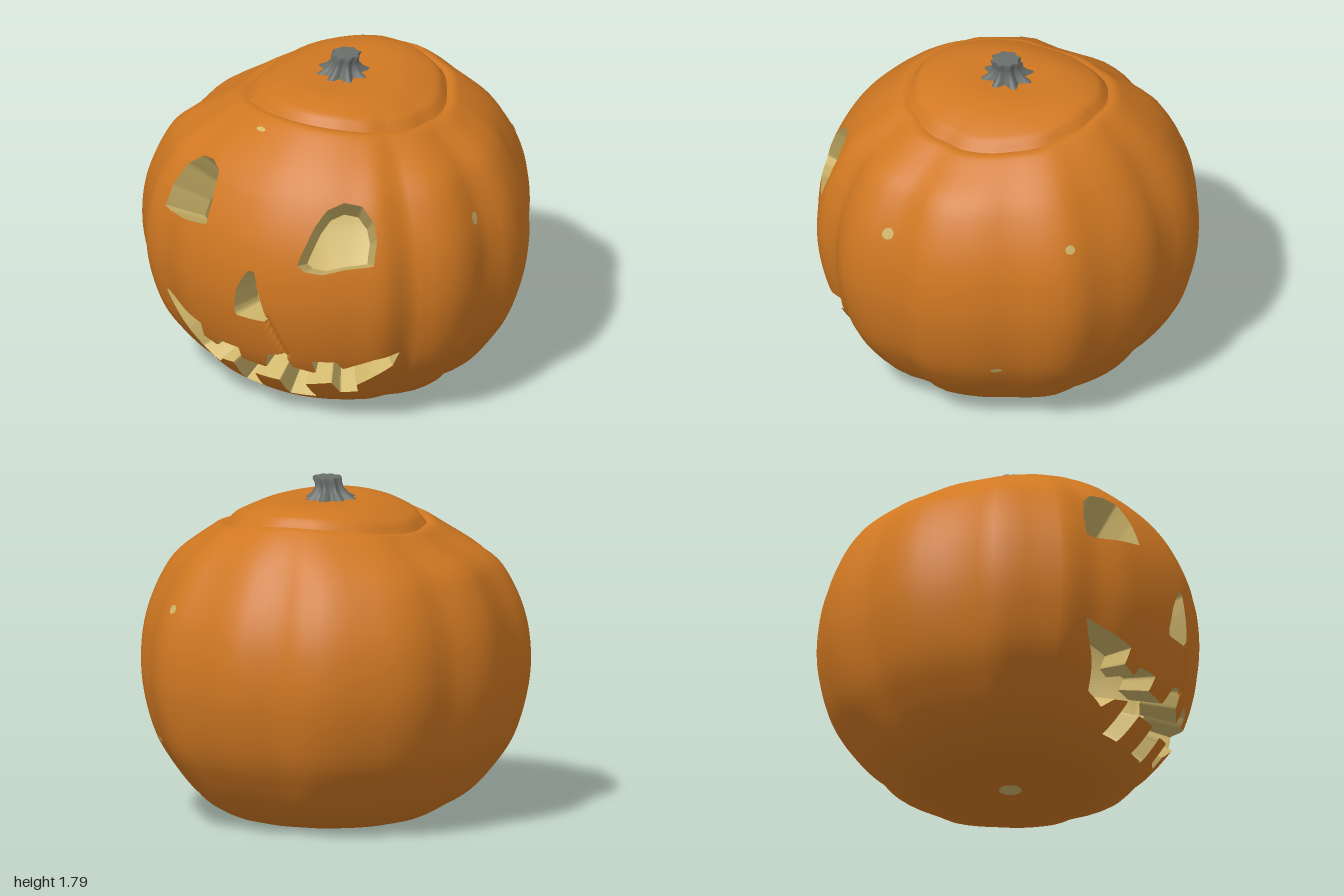
import * as THREE from 'three';
import { mergeVertices, toCreasedNormals } from 'three/addons/utils/BufferGeometryUtils.js';

const mat = (name, color, side = THREE.FrontSide) => {
  const m = new THREE.MeshStandardMaterial({ color, side });
  m.name = name;
  return m;
};
const rad = THREE.MathUtils.degToRad;
const smooth = THREE.MathUtils.smoothstep;
const V = (x, y, z) => new THREE.Vector3(x, y, z);

// Profile (radius, height) from the underside to the crown; point 13 is the lid seam
const profile = new THREE.SplineCurve([
  [0, .012], [.2, .007], [.42, .005], [.55, .04], [.7, .13], [.83, .28], [.92, .43], [.98, .63], [1, .82],
  [.98, 1.02], [.92, 1.2], [.82, 1.37], [.68, 1.52], [.52, 1.635], [.35, 1.685], [.15, 1.68], [0, 1.67],
].map(([r, y]) => new THREE.Vector2(r, y)));
const SEAM = 13 / 16;

// Uneven ribs: radius every 10 degrees, from the front round towards +x
const ribs = [
  .985, .985, .985, .985, 1, .958, 1.01, 1, .945, 1, .99, .975, .955, .99, 1.015, .97, .98, .985,
  .95, 1.005, 1.01, .995, 1, .985, .94, .965, .98, .965, .98, 1.055, 1.035, 1.045, 1, 1, .985, .98,
];
function rib(deg) {
  const u = (((deg / 10) % 36) + 36) % 36, i = Math.floor(u), f = u - i;
  const [a, b, c, d] = [35, 0, 1, 2].map((k) => ribs[(i + k) % 36]);
  return b + .5 * f * (c - a + f * (2 * a - 5 * b + 4 * c - d + f * (3 * (b - c) + d - a)));
}

// Distance from (x, y) to a segment
function segDist(x, y, [ax, ay], [bx, by]) {
  const dx = bx - ax, dy = by - ay;
  const t = THREE.MathUtils.clamp(((x - ax) * dx + (y - ay) * dy) / (dx * dx + dy * dy), 0, 1);
  return Math.hypot(x - ax - t * dx, y - ay - t * dy);
}

// Outer skin at angle (degrees) and profile position t
function skin(deg, t) {
  const p = profile.getPoint(t), s = Math.sin(rad(deg)), c = Math.cos(rad(deg));
  const r = p.x * (1 + (rib(deg) - 1) * smooth(p.x, .2, .9));
  const top = smooth(p.y, 1.3, 1.6);
  let y = p.y - .07 * s * s * top * smooth(p.x, .15, .55);
  if (t > .6) y -= .03 * Math.exp(-(((p.x - .52) / .025) ** 2));
  const v = V(r * s + .02 * top, y, r * c - .02 * top);
  // crack running from the nose down to the mouth
  if (v.z > .3) {
    const d = segDist(v.x, v.y, [.055, .68], [.14, .46]);
    const k = 1 - .03 * Math.exp(-((d / .011) ** 2));
    v.x *= k; v.z *= k;
  }
  return v;
}

// Carved openings, drawn on the front
const openings = [
  // eyes
  [[-.67, 1.06], [-.64, 1.18], [-.57, 1.3], [-.48, 1.37], [-.4, 1.385], [-.34, 1.36], [-.333, 1.24],
    [-.345, 1.1], [-.48, 1.075], [-.63, 1.05]],
  [[.22, 1.02], [.25, 1.12], [.28, 1.22], [.32, 1.3], [.39, 1.335], [.48, 1.32], [.55, 1.25], [.585, 1.16],
    [.59, 1.03], [.45, 1.01], [.35, .98], [.26, .99]],
  // nose
  [[-.04, .95], [-.01, .94], [.01, .85], [.06, .68], [.05, .665], [-.05, .66], [-.13, .66], [-.14, .7],
    [-.12, .82], [-.08, .9]],
  // mouth with teeth
  [[-.67, .585], [-.47, .52], [-.39, .5], [-.39, .41], [-.3, .38], [-.29, .43], [-.15, .43], [-.15, .35],
    [0, .34], [.03, .44], [.13, .47], [.16, .38], [.27, .35], [.27, .44], [.39, .44], [.41, .39], [.57, .46],
    [.66, .478], [.62, .39], [.43, .25], [.42, .19], [.33, .18], [.32, .27], [.18, .24], [.19, .12], [.04, .11],
    [.04, .24], [-.11, .24], [-.12, .11], [-.24, .11], [-.24, .27], [-.33, .25], [-.37, .2], [-.48, .25],
    [-.55, .37], [-.63, .5]],
];
// Positive on the skin, negative inside an opening
function keep(p) {
  if (p.z < .3) return 1;
  let best = 1;
  for (const poly of openings) {
    let d = 1, inside = false;
    poly.forEach((a, i) => {
      const b = poly[(i + 1) % poly.length];
      d = Math.min(d, segDist(p.x, p.y, a, b));
      if ((a[1] > p.y) !== (b[1] > p.y) && p.x < a[0] + (b[0] - a[0]) * (p.y - a[1]) / (b[1] - a[1])) inside = !inside;
    });
    best = Math.min(best, inside ? -d : d);
  }
  return best;
}

const inward = (p) => V(p.x * .78, .6 + (p.y - .6) * .78, p.z * .78);

const steps = (a, b, n) => Array.from({ length: n }, (_, i) => a + (b - a) * i / n);
const columns = [...steps(-52, 52, 116), ...steps(52, 308, 52), 308];

function toGeometry(points) {
  const g = new THREE.BufferGeometry().setFromPoints(points);
  return g;
}
function smoothGeometry(points) {
  const g = mergeVertices(toGeometry(points), 1e-5);
  g.computeVertexNormals();
  return g;
}

// Skin, inner lining and cut walls of a band of rows
function carve(rows) {
  const outer = [], inner = [], wall = [];
  const grid = rows.map((t) => columns.map((a) => {
    const p = skin(a >= 308 ? -52 : a, t);
    return { p, d: keep(p) };
  }));
  const addTriangle = (tri) => {
    const poly = [];
    let exit = null, enter = null;
    tri.forEach((a, i) => {
      const b = tri[(i + 1) % 3];
      if (a.d >= 0) poly.push(a.p);
      if ((a.d >= 0) !== (b.d >= 0)) {
        const q = a.p.clone().lerp(b.p, a.d / (a.d - b.d));
        poly.push(q);
        if (a.d >= 0) exit = q; else enter = q;
      }
    });
    for (let i = 1; i + 1 < poly.length; i++) {
      outer.push(poly[0], poly[i], poly[i + 1]);
      inner.push(inward(poly[0]), inward(poly[i + 1]), inward(poly[i]));
    }
    if (exit && exit.distanceTo(enter) > 1e-5) {
      const e = inward(exit), n = inward(enter);
      wall.push(enter, exit, e, enter, e, n);
    }
  };
  for (let j = 0; j + 1 < rows.length; j++) {
    for (let i = 0; i + 1 < columns.length; i++) {
      const [a, b, c, d] = [grid[j][i], grid[j][i + 1], grid[j + 1][i + 1], grid[j + 1][i]];
      addTriangle([a, b, c]);
      addTriangle([a, c, d]);
    }
  }
  return { outer, inner, wall };
}

export function createModel() {
  const group = new THREE.Group();
  const orange = mat('orange skin', 0xd07822);
  const cream = mat('cream flesh', 0xd0b76c, THREE.DoubleSide);
  const grey = mat('grey stem', 0x6a6f6c);
  const add = (name, geometry, material) => {
    const m = new THREE.Mesh(geometry, material);
    m.name = name;
    group.add(m);
    return m;
  };

  // Hollow body
  const body = carve([...steps(0, .1875, 8), ...steps(.1875, .7, 104), ...steps(.7, SEAM, 14), SEAM]);
  add('body', smoothGeometry(body.outer), orange);
  add('bodyLining', smoothGeometry(body.inner), cream);
  add('carvedWalls', toCreasedNormals(toGeometry(body.wall), .6), cream);

  // Lid
  const lid = carve([...steps(SEAM, .86, 8), ...steps(.86, 1, 10), 1]);
  add('lid', smoothGeometry(lid.outer), orange);
  add('lidLining', smoothGeometry(lid.inner), cream);

  // Ridged stem: star-shaped rings (radius, height, ridge depth, x shift)
  const rings = [[.145, 1.645, .2, -.01], [.125, 1.672, .24, -.01], [.09, 1.70, .2, -.005], [.072, 1.73, .13, 0],
    [.068, 1.76, .1, .005], [.074, 1.785, .1, .012], [.066, 1.793, .08, .012], [0, 1.785, 0, .012]];
  const n = 64, stem = [];
  const at = ([r, y, depth, dx], i) => {
    const a = (i % n) / n * Math.PI * 2;
    const k = r * (1 + depth * Math.cos(8 * a + .4) + .08 * depth * Math.sin(3 * a));
    return V(dx + k * Math.sin(a), y, k * Math.cos(a));
  };
  for (let j = 0; j + 1 < rings.length; j++) {
    for (let i = 0; i < n; i++) {
      const [a, b, c, d] = [at(rings[j], i), at(rings[j], i + 1), at(rings[j + 1], i + 1), at(rings[j + 1], i)];
      stem.push(a, b, c, a, c, d);
    }
  }
  add('stem', smoothGeometry(stem), grey);

  // Small pale spots lying on the skin: angle, profile position, half width (degrees), half height (t)
  const findT = (y) => steps(.1, .8, 700).find((t) => profile.getPoint(t).y >= y);
  for (const [deg, y, w, h] of [[-19, 1.56, 2.8, .004], [76, 1.13, 1.8, .011], [139, 1.17, 1.6, .008], [115, .42, 2, .005]]) {
    const t = findT(y), spot = [];
    const edge = (i) => skin(deg + w * Math.cos(i * Math.PI / 8), t + h * Math.sin(i * Math.PI / 8));
    for (let i = 0; i < 16; i++) spot.push(skin(deg, t), edge(i), edge(i + 1));
    spot.forEach((p) => p.set(p.x * 1.004, .8 + (p.y - .8) * 1.004, p.z * 1.004));
    add('paleSpot', smoothGeometry(spot), cream);
  }
  const base = add('baseSpot', new THREE.CircleGeometry(.06, 20), cream);
  base.rotation.x = Math.PI / 2;
  base.position.y = .004;

  return group;
}
